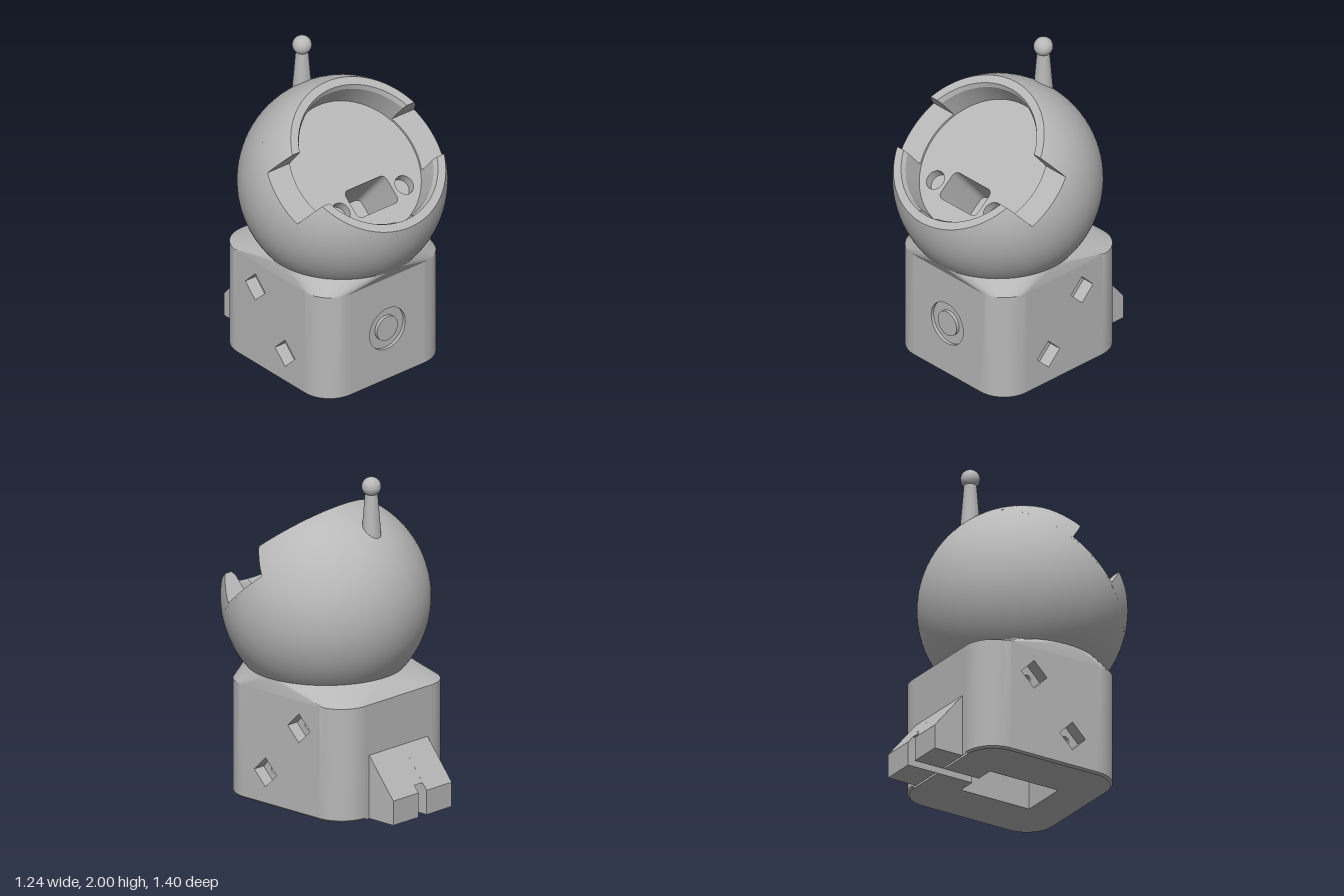
import * as THREE from 'three';
import { toCreasedNormals } from 'three/addons/utils/BufferGeometryUtils.js';

const grey = new THREE.MeshStandardMaterial({ color: 0xb8b8b8, side: THREE.DoubleSide });
grey.name = 'grey plastic';

const PI = Math.PI;
const R = 0.62;                      // head radius
const HEAD_Y = 1.185, HEAD_Z = 0.08; // head centre
const FLOOR = 0.174, LEDGE = 0.188, RIM = 0.366; // heights along the tilted axis

function add(parent, name, geometry, crease = 0.5) {
  const mesh = new THREE.Mesh(toCreasedNormals(geometry, crease), grey);
  mesh.name = name;
  parent.add(mesh);
  return mesh;
}

const v2 = (list) => list.map(([a, b]) => new THREE.Vector2(a, b));
const rect = (a0, b0, a1, b1) => [[a0, b0], [a1, b0], [a1, b1], [a0, b1]];
const circle = (a, b, r, n = 48) => Array.from({ length: n }, (_, i) =>
  [a + r * Math.cos(i / n * 2 * PI), b + r * Math.sin(i / n * 2 * PI)]);

// Flat outline with holes, mapped to space by place(a, b) => [x, y, z]
function panel(outline, holes, place) {
  const shape = new THREE.Shape(v2(outline));
  holes.forEach((h) => shape.holes.push(new THREE.Path(v2(h))));
  const g = new THREE.ShapeGeometry(shape);
  const p = g.attributes.position;
  for (let i = 0; i < p.count; i++) p.setXYZ(i, ...place(p.getX(i), p.getY(i)));
  return g;
}

// Skin over closed rings of equal length; skip(band, index) leaves a quad out
function skin(rings, skip = () => false) {
  const n = rings[0].length, index = [];
  for (let b = 0; b < rings.length - 1; b++) {
    for (let i = 0; i < n; i++) {
      if (skip(b, i)) continue;
      const j = (i + 1) % n, lo = b * n, hi = lo + n;
      index.push(lo + i, hi + i, lo + j, lo + j, hi + i, hi + j);
    }
  }
  const g = new THREE.BufferGeometry();
  g.setAttribute('position', new THREE.Float32BufferAttribute(rings.flat(2), 3));
  g.setIndex(index);
  return g;
}

// Rounded rectangle as four corner arcs, starting at the +a +b corner
function roundedRect(ca, cb, ha, hb, r, n) {
  const pts = [];
  for (let k = 0; k < 4; k++) {
    const sa = k === 0 || k === 3 ? 1 : -1, sb = k < 2 ? 1 : -1;
    for (let i = 0; i <= n; i++) {
      const t = (k + i / n) * PI / 2;
      pts.push([ca + sa * (ha - r) + r * Math.cos(t), cb + sb * (hb - r) + r * Math.sin(t)]);
    }
  }
  return pts;
}

function buildBody(group) {
  const N = 12, HX = 0.475, ZC = -0.0075, HZ = 0.4975, CR = 0.19;
  const ZF = ZC + HZ, ZB = ZC - HZ, CH = 0.012;
  const at = (y) => ([x, z]) => [x, y, z];

  // Shell: bottom chamfer, rounded walls, and a loft to the round neck
  const outer = roundedRect(0, ZC, HX, HZ, CR, N);
  const base = roundedRect(0, ZC, HX - CH, HZ - CH, CR - CH, N);
  const neck = roundedRect(0, HEAD_Z, 0.474, 0.474, 0.474, N);
  const rings = [base.map(at(0)), outer.map(at(CH)), outer.map(at(0.7)), neck.map(at(0.785))];
  const backFlat = 3 * N + 2;
  add(group, 'bodyShell', skin(rings, (b, i) =>
    (b === 1 && i % (N + 1) === N) || (b === 0 && i === backFlat)), 0.35);

  // Underside, cut by the cavity and the cable channel
  const CX = 0.155, C0 = -0.25, C1 = 0.23, CW = 0.035, CT = 0.19, TOP = 0.45;
  const zb = ZB + CH;
  const under = [...base.slice(0, backFlat + 1),
    [-CW, zb], [-CW, C0], [-CX, C0], [-CX, C1], [CX, C1], [CX, C0], [CW, C0], [CW, zb],
    ...base.slice(backFlat + 1)];
  add(group, 'underside', panel(under, [], (x, z) => [x, 0, z]));

  // Back wall with the channel opening
  const bx = HX - CR;
  const arch = (w, h) => [[-w, 0], [-CW, 0], [-CW, CT], [CW, CT], [CW, 0], [w, 0], [w, h], [-w, h]];
  add(group, 'backWall', panel(arch(bx, 0.7), [], (x, y) => [x, y, ZB]));

  // Front wall with a ring groove around a round button
  const BY = 0.355, BD = 0.02;
  add(group, 'frontWall', panel(rect(-bx, CH, bx, 0.7), [circle(0, BY, 0.137)], (x, y) => [x, y, ZF]));
  add(group, 'buttonGroove', panel(circle(0, BY, 0.137), [circle(0, BY, 0.08)], (x, y) => [x, y, ZF - BD]));
  add(group, 'button', panel(circle(0, BY, 0.08), [], (x, y) => [x, y, ZF]));
  for (const r of [0.137, 0.08]) {
    add(group, 'grooveWall', new THREE.CylinderGeometry(r, r, BD, 48, 1, true)
      .rotateX(PI / 2).translate(0, BY, ZF - BD / 2));
  }

  // Side walls with diamond pockets and screw holes
  const screws = [[-0.15, 0.53], [0.12, 0.2]], D = 0.09, PD = 0.08, SR = 0.027;
  for (const s of [1, -1]) {
    add(group, 'sideWall', panel(rect(ZB + CR, CH, ZF - CR, 0.7),
      screws.map(([z, y]) => circle(z, y, D, 4)), (z, y) => [s * HX, y, z]));
    screws.forEach(([z, y], i) => {
      add(group, 'diamondPocket', new THREE.CylinderGeometry(D, D, PD, 4, 1, true)
        .rotateZ(PI / 2).translate(s * (HX - PD / 2), y, z));
      add(group, 'pocketFloor', panel(circle(z, y, D, 4), [circle(z, y, SR, 24)],
        (a, b) => [s * (HX - PD), b, a]));
      const inner = i === 0 ? 0 : CX, len = HX - PD - inner;
      add(group, 'screwHole', new THREE.CylinderGeometry(SR, SR, len, 24, 1, true)
        .rotateZ(PI / 2).translate(s * (inner + len / 2), y, z));
    });
    add(group, 'cavitySide', panel(rect(C0, 0, C1, TOP), [circle(0.12, 0.2, SR, 24)],
      (z, y) => [s * CX, y, z]));
    add(group, 'channelSide', panel(rect(ZB, 0, C0, CT), [], (z, y) => [s * CW, y, z]));
  }
  add(group, 'cavityFront', panel(rect(-CX, 0, CX, TOP), [], (x, y) => [x, y, C1]));
  add(group, 'cavityBack', panel(arch(CX, TOP), [], (x, y) => [x, y, C0]));
  add(group, 'cavityTop', panel(rect(-CX, C0, CX, C1), [], (x, z) => [x, TOP, z]));
  add(group, 'channelTop', panel(rect(-CW, ZB, CW, C0), [], (x, z) => [x, CT, z]));

  // Sloped cable block behind the body, split by the channel
  const block = (name, profile, x0, x1) => add(group, name,
    new THREE.ExtrudeGeometry(new THREE.Shape(v2(profile)), { depth: x1 - x0, bevelEnabled: false })
      .rotateY(PI / 2).translate(x0, 0, 0));
  const wedge = [[0.505, 0], [0.7, 0], [0.7, 0.15], [0.505, 0.39]];
  block('cableBlockLeft', wedge, CW, 0.25);
  block('cableBlockRight', wedge, -0.25, -CW);
  block('cableBlockBridge', [[0.505, CT], [0.667, CT], [0.505, 0.39]], -CW, CW);
}

// Part of the cradle wall: profile (r, h) swept between angles that depend on r
function sector(head, name, profile, a0, a1) {
  const warp = (g, angle) => {
    const p = g.attributes.position;
    for (let i = 0; i < p.count; i++) {
      const [r, h, t] = angle(p, i);
      const a = a0(r) + (a1(r) - a0(r)) * t;
      p.setXYZ(i, r * Math.sin(a), h, r * Math.cos(a));
    }
    return g;
  };
  const closed = v2([...profile, profile[0]]);
  add(head, name, warp(new THREE.LatheGeometry(closed, 48, 0, 1), (p, i) =>
    [Math.hypot(p.getX(i), p.getZ(i)), p.getY(i), Math.atan2(p.getX(i), p.getZ(i))]), 0.4);
  for (const t of [0, 1]) {
    add(head, name + 'End', warp(new THREE.ShapeGeometry(new THREE.Shape(v2(profile))),
      (p, i) => [p.getX(i), p.getY(i), t]));
  }
}

function buildHead(group) {
  const head = new THREE.Group();
  head.name = 'head';
  head.position.set(0, HEAD_Y, HEAD_Z);
  head.rotation.x = 40 * PI / 180;
  group.add(head);

  // Ball below the cradle floor
  const start = Math.acos(FLOOR / R);
  add(head, 'ball', new THREE.SphereGeometry(R, 96, 64, 0, 2 * PI, start, PI - start));

  // Cradle floor with a cable window and two round dimples
  const windowRim = roundedRect(0, 0.2, 0.157, 0.092, 0.035, 6);
  const dimples = [0.243, -0.243].map((x) => [x, 0.213]);
  add(head, 'cradleFloor', panel(circle(0, 0, Math.sqrt(R * R - FLOOR * FLOOR), 96),
    [windowRim, ...dimples.map(([x, z]) => circle(x, z, 0.06, 32))], (x, z) => [x, FLOOR, -(-z)]));
  const DEEP = FLOOR - 0.35;
  add(head, 'windowWall', skin([FLOOR, DEEP].map((h) => windowRim.map(([x, z]) => [x, h, z]))));
  add(head, 'windowFloor', panel(windowRim, [], (x, z) => [x, DEEP, z]));
  for (const [x, z] of dimples) {
    add(head, 'dimpleWall', new THREE.CylinderGeometry(0.06, 0.06, 0.06, 32, 1, true)
      .translate(x, FLOOR - 0.03, z));
    add(head, 'dimpleFloor', panel(circle(x, z, 0.06, 32), [], (a, b) => [a, FLOOR - 0.06, b]));
  }

  // Wall profiles: outside on the ball, inside straight with a lead-in at the rim
  const shell = (top, n) => Array.from({ length: n + 1 }, (_, i) => {
    const h = FLOOR + (top - FLOOR) * i / n;
    return [Math.sqrt(R * R - h * h), h];
  });
  const wall = [...shell(RIM, 10), [0.45, RIM], [0.435, RIM - 0.03], [0.43, FLOOR]];
  const slot = [...shell(RIM, 10), [0.45, RIM], [0.45, FLOOR]];
  const ledge = [...shell(LEDGE, 1), [0.43, LEDGE], [0.43, FLOOR]];
  const s = (r) => Math.asin(0.177 / r), g = (r) => Math.asin(0.065 / r);
  sector(head, 'frontWallLeft', wall, g, (r) => PI / 2 - s(r));
  sector(head, 'frontWallRight', wall, (r) => s(r) - PI / 2, (r) => -g(r));
  sector(head, 'frontSlot', slot, (r) => -g(r), g);
  sector(head, 'rearWall', wall, (r) => PI / 2 + s(r), (r) => 1.5 * PI - s(r));
  for (const c of [PI / 2, 1.5 * PI]) {
    sector(head, 'sideLedge', ledge, (r) => c - s(r), (r) => c + s(r));
  }
}

function buildAntenna(group) {
  add(group, 'antennaStem', new THREE.CylinderGeometry(0.037, 0.062, 0.31, 32).translate(0, 1.755, -0.287));
  add(group, 'antennaBall', new THREE.SphereGeometry(0.058, 32, 24).translate(0, 1.942, -0.287));
}

export function createModel() {
  const model = new THREE.Group();
  model.name = 'chargingStand';
  buildBody(model);
  buildHead(model);
  buildAntenna(model);
  return model;
}
